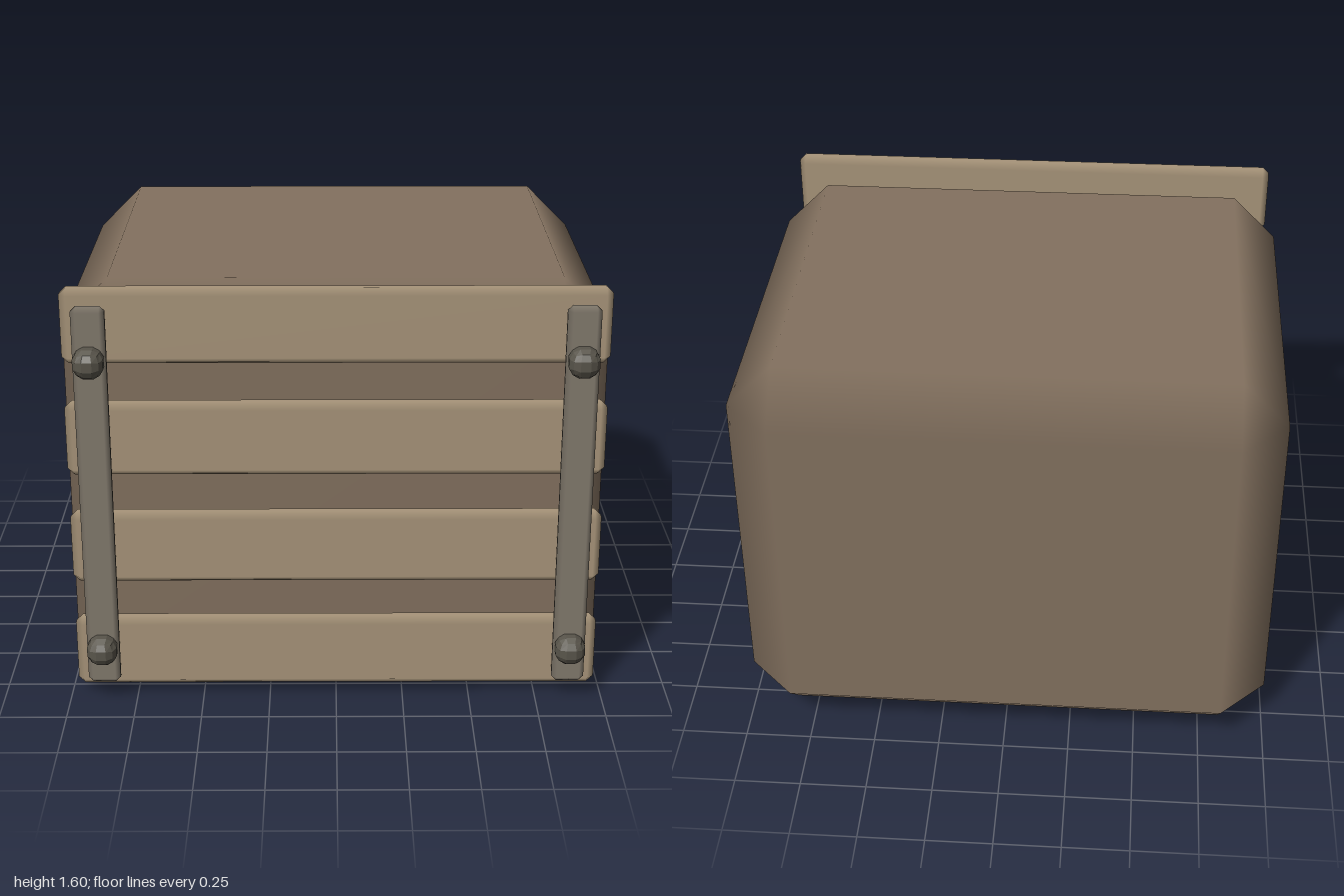
import * as THREE from 'three';

// Box with single flat chamfers, shaded smoothly from face to face
function chamferBox(w, h, d, c) {
  const half = [w / 2, h / 2, d / 2];
  const pos = [], nor = [], idx = [];
  const signs = [-1, 1];
  // three vertices per corner, one for each axis-aligned face
  const id = (s, axis) => ((s[0] + 1) / 2 * 4 + (s[1] + 1) / 2 * 2 + (s[2] + 1) / 2) * 3 + axis;
  for (const x of signs) for (const y of signs) for (const z of signs) {
    const s = [x, y, z];
    for (let a = 0; a < 3; a++) {
      pos.push(...s.map((v, i) => v * (half[i] - (i === a ? 0 : c))));
      nor.push(...s.map((v, i) => (i === a ? v : 0)));
    }
  }
  const point = (i) => new THREE.Vector3().fromArray(pos, i * 3);
  const tri = (a, b, e) => {
    const A = point(a), n = point(b).sub(A).cross(point(e).sub(A));
    const mid = point(a).add(point(b)).add(point(e));
    idx.push(...(n.dot(mid) > 0 ? [a, b, e] : [a, e, b]));
  };
  const quad = (a, b, e, f) => { tri(a, b, e); tri(a, e, f); };
  const corner = (a, sa, b, sb, e, se) => {
    const s = [0, 0, 0];
    s[a] = sa; s[b] = sb; s[e] = se;
    return s;
  };
  for (let a = 0; a < 3; a++) {
    const b = (a + 1) % 3, e = (a + 2) % 3;
    for (const s of signs) {
      // face
      const v = (p, q) => id(corner(a, s, b, p, e, q), a);
      quad(v(-1, -1), v(1, -1), v(1, 1), v(-1, 1));
      // chamfers running along axis e
      for (const t of signs) {
        const lo = corner(a, s, b, t, e, -1), hi = corner(a, s, b, t, e, 1);
        quad(id(lo, a), id(lo, b), id(hi, b), id(hi, a));
      }
    }
  }
  // corner triangles
  for (const x of signs) for (const y of signs) for (const z of signs) {
    const s = [x, y, z];
    tri(id(s, 0), id(s, 1), id(s, 2));
  }
  const g = new THREE.BufferGeometry();
  g.setAttribute('position', new THREE.Float32BufferAttribute(pos, 3));
  g.setAttribute('normal', new THREE.Float32BufferAttribute(nor, 3));
  g.setIndex(idx);
  return g;
}

// Faceted ball made from an inflated cube
function facetedBall(r) {
  const g = new THREE.BoxGeometry(1, 1, 1, 3, 3, 3);
  const p = g.attributes.position, v = new THREE.Vector3();
  for (let i = 0; i < p.count; i++) {
    v.fromBufferAttribute(p, i).setLength(r);
    p.setXYZ(i, v.x, v.y, v.z);
  }
  g.computeVertexNormals();
  return g;
}

export function createModel() {
  const group = new THREE.Group();
  const bodyMat = new THREE.MeshStandardMaterial({ color: 0x83715f });
  const slatMat = new THREE.MeshStandardMaterial({ color: 0xa8957a });
  const strapMat = new THREE.MeshStandardMaterial({ color: 0x827a6d });
  const boltMat = new THREE.MeshStandardMaterial({ color: 0x59554b, flatShading: true });
  const add = (name, geo, mat, x, y, z) => {
    const m = new THREE.Mesh(geo, mat);
    m.name = name;
    m.position.set(x, y, z);
    group.add(m);
  };

  // Block body
  add('body', chamferBox(2, 1.57, 1.695, 0.172), bodyMat, 0, 0.785, -0.0975);

  // Four horizontal slats on the front
  const slat = chamferBox(1.95, 0.28, 0.072, 0.025);
  for (let i = 0; i < 4; i++) add('slat' + (i + 1), slat, slatMat, 0, 0.175 + i * 0.428, 0.787);

  // Two upright straps, each held by two bolts
  const strap = chamferBox(0.12, 1.475, 0.05, 0.018);
  const bolt = facetedBall(0.06);
  for (const [side, x] of [['left', 0.87], ['right', -0.87]]) {
    add(side + 'Strap', strap, strapMat, x, 0.808, 0.846);
    add(side + 'LowerBolt', bolt, boltMat, x, 0.22, 0.887);
    add(side + 'UpperBolt', bolt, boltMat, x, 1.35, 0.887);
  }
  return group;
}
